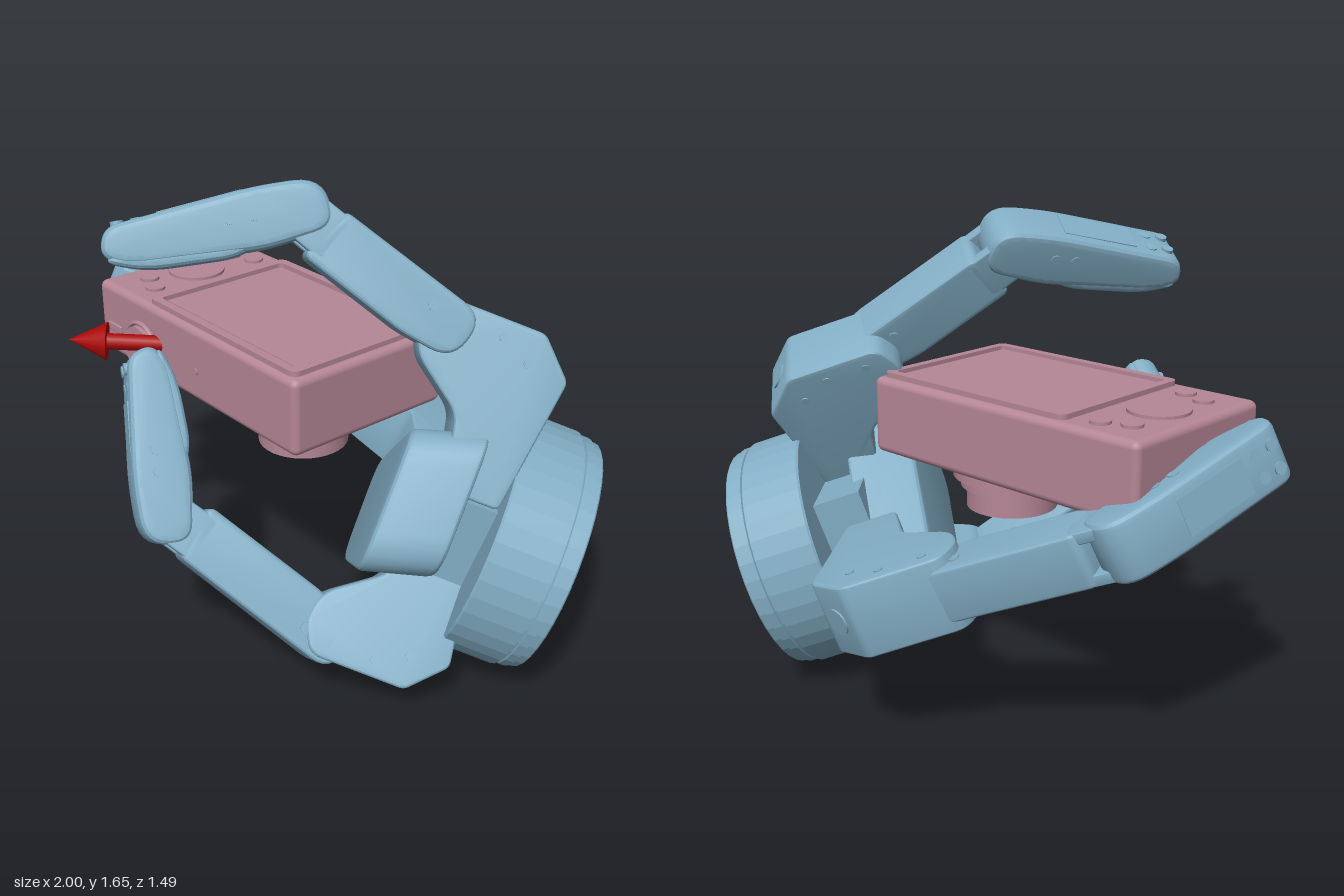
import * as THREE from 'three';
import { toCreasedNormals } from 'three/addons/utils/BufferGeometryUtils.js';
import { RoundedBoxGeometry } from 'three/addons/geometries/RoundedBoxGeometry.js';

const V = (x, y, z) => new THREE.Vector3(x, y, z);
const blue = new THREE.MeshStandardMaterial({ color: 0x82adc4 });
const pink = new THREE.MeshStandardMaterial({ color: 0xb68796 });
const red = new THREE.MeshStandardMaterial({ color: 0xaa0808 });

// palm axis: W points from the wrist disc out through the palm
const W = V(-0.71, 0.33, 0.62).normalize();
const wrist = V(0.727, 0.38, -0.412);

function add(parent, name, geo, mat, x = 0, y = 0, z = 0) {
  const m = new THREE.Mesh(geo, mat);
  m.name = name;
  m.position.set(x, y, z);
  parent.add(m);
  return m;
}

// group whose local axes are a, b, c at point o
function frame(parent, name, o, a, b, c) {
  const g = new THREE.Group();
  g.name = name;
  g.applyMatrix4(new THREE.Matrix4().makeBasis(a, b, c).setPosition(o));
  parent.add(g);
  return g;
}

// closed polygon with rounded corners; points are [x, y, radius]
function roundedShape(pts) {
  const s = new THREE.Shape();
  const n = pts.length;
  pts.forEach(([x, y, r], i) => {
    const c = new THREE.Vector2(x, y);
    const toward = ([px, py]) => {
      const e = new THREE.Vector2(px, py).sub(c);
      return e.setLength(Math.min(r, e.length() * 0.48)).add(c);
    };
    const p = toward(pts[(i + n - 1) % n]);
    const q = toward(pts[(i + 1) % n]);
    if (i) s.lineTo(p.x, p.y); else s.moveTo(p.x, p.y);
    s.quadraticCurveTo(x, y, q.x, q.y);
  });
  s.closePath();
  return s;
}

function slab(pts, depth, bevel) {
  const g = new THREE.ExtrudeGeometry(roundedShape(pts), {
    depth: depth - 2 * bevel, bevelEnabled: true, bevelSize: bevel, bevelThickness: bevel,
    bevelOffset: -bevel, bevelSegments: 3, curveSegments: 6,
  });
  g.translate(0, 0, bevel - depth / 2);
  return toCreasedNormals(g, 0.5);
}

// cylinder along local y, or along z when turned
function disc(parent, name, r, h, x, y, z, mat = blue, turned = true, seg = 24) {
  const m = add(parent, name, new THREE.CylinderGeometry(r, r, h, seg), mat, x, y, z);
  if (turned) m.rotation.x = Math.PI / 2;
  return m;
}

function finger(parent, name, knuckle, joint, tip, shift) {
  const g = new THREE.Group();
  g.name = name;
  parent.add(g);
  const p = joint.clone().sub(knuckle), t = tip.clone().sub(joint);
  const lenP = p.length(), lenT = t.length();
  p.normalize();
  t.normalize();
  const n = t.clone().cross(p).normalize();

  // knuckle housing with an arm reaching inward under the palm plate
  const nk = n.clone().addScaledVector(W, -n.dot(W)).normalize();
  const origin = knuckle.clone().addScaledVector(nk, shift);
  const k = frame(g, 'knuckle', origin, W, nk.clone().cross(W), nk);
  add(k, 'knuckleHousing', slab([
    [0.05, -0.02, 0.04], [0, 0.075, 0.04], [-0.32, 0.075, 0.02], [-0.435, -0.04, 0.02],
    [-0.38, -0.48, 0.02], [-0.2, -0.48, 0.02], [-0.15, -0.25, 0.04], [0.03, -0.12, 0.05]], 0.25, 0.012), blue);
  const port = disc(k, 'motorPort', 0.045, 0.012, -0.379, 0.016, 0);
  port.rotation.z = Math.PI / 4;
  port.rotation.x = 0;
  for (const s of [-1, 1]) for (const [x, y] of [[-0.06, 0.02], [-0.2, 0.02], [-0.3, -0.03]])
    disc(k, 'knuckleScrew', 0.014, 0.008, x, y, s * 0.125, blue, true, 10);

  // inner link
  const a = frame(g, 'innerLink', knuckle, p, n.clone().cross(p), n);
  add(a, 'innerShell', slab([
    [-0.1, 0.085, 0.08], [lenP - 0.1, 0.085, 0.03], [lenP - 0.08, -0.1, 0.03],
    [0.08, -0.105, 0.03], [-0.1, -0.08, 0.08]], 0.18, 0.015), blue);
  for (const s of [-1, 1]) {
    add(a, 'jointCheek', slab([
      [lenP - 0.14, 0.075, 0.03], [lenP + 0.08, 0.08, 0.08], [lenP + 0.08, -0.07, 0.08],
      [lenP - 0.14, -0.08, 0.03]], 0.04, 0.008), blue).position.z = s * 0.07;
    disc(a, 'linkScrew', 0.018, 0.008, 0.05, 0.02, s * 0.09, blue, true, 12);
  }
  disc(a, 'jointPin', 0.07, 0.18, lenP, 0, 0);

  // outer link, tapered toward the tip, with a pad on the gripping side
  const b = frame(g, 'outerLink', joint, t, n.clone().cross(t), n);
  add(b, 'outerShell', slab([
    [-0.1, -0.06, 0.07], [-0.08, 0.095, 0.09], [0.12, 0.1, 0.08], [lenT, 0.055, 0.05],
    [lenT + 0.025, -0.03, 0.04], [lenT - 0.05, -0.07, 0.06], [0.12, -0.09, 0.06]], 0.2, 0.025), blue);
  add(b, 'fingerPad', slab([
    [0.1, -0.05, 0.03], [lenT - 0.02, -0.02, 0.03], [lenT + 0.015, -0.05, 0.04],
    [lenT - 0.1, -0.092, 0.08], [0.2, -0.1, 0.06]], 0.19, 0.02), blue);
  for (const s of [-1, 1]) for (const x of [0.14, 0.21])
    disc(b, 'sideScrew', 0.018, 0.008, x, 0.015, s * 0.1, blue, true, 12);
  const cover = add(b, 'backCover', new THREE.BoxGeometry(lenT * 0.45, 0.012, 0.12), blue, lenT * 0.5, 0.08, 0);
  cover.rotation.z = -0.09;
  for (const s of [-1, 1]) for (const x of [lenT - 0.1, lenT - 0.04])
    disc(b, 'tipScrew', 0.02, 0.02, x, 0.058, s * 0.04, blue, false, 12);
}

function palm(parent) {
  const u = V(0, 1, 0).cross(W).normalize();
  const v = W.clone().cross(u);
  const g = frame(parent, 'palm', wrist, u, v, W);
  // wrist disc: cap, narrow ring and wide body
  const rim = [[0, 0], [0.39, 0], [0.395, 0.005], [0.395, 0.03], [0.403, 0.032], [0.403, 0.06],
    [0.396, 0.063], [0.396, 0.072], [0.411, 0.075], [0.411, 0.268], [0.405, 0.275], [0, 0.275]];
  const geo = new THREE.LatheGeometry(rim.map(([r, h]) => new THREE.Vector2(r, h)), 40);
  add(g, 'wristDisc', toCreasedNormals(geo, 0.1), blue).rotation.x = Math.PI / 2;
  add(g, 'hub', new THREE.BoxGeometry(0.46, 0.4, 0.2), blue, 0, 0, 0.34);
  // palm plate: rounded corners projected on the palm plane, back edge sheared upward
  const corners = [V(0.61, 0.95, -0.03), V(0.05, 0.47, -0.36), V(0.12, 0.18, -0.11), V(0.67, 0.54, 0.23)];
  const flat = corners.map((c) => c.sub(wrist)).map((c) => [c.dot(u), c.dot(v), 0.13]);
  const plate = slab(flat, 0.23, 0.02);
  plate.applyMatrix4(new THREE.Matrix4().makeShear(0, 0, 0, 0, 0, -0.35));
  add(g, 'palmPlate', plate, blue, 0, 0, 0.505);
}

function camera(parent) {
  const g = new THREE.Group();
  g.name = 'compactCamera';
  parent.add(g);
  add(g, 'cameraBody', new RoundedBoxGeometry(1.1, 0.26, 0.625, 3, 0.025), pink, -0.235, 0.97, 0.042);
  // raised screen frame around the display
  const frameShape = roundedShape([[-0.39, -0.29, 0.03], [0.39, -0.29, 0.03], [0.39, 0.29, 0.03], [-0.39, 0.29, 0.03]]);
  frameShape.holes.push(roundedShape([[-0.36, -0.26, 0.02], [-0.36, 0.26, 0.02], [0.36, 0.26, 0.02], [0.36, -0.26, 0.02]]));
  const fg = new THREE.ExtrudeGeometry(frameShape, { depth: 0.025, bevelEnabled: false });
  add(g, 'screenFrame', fg, pink, -0.1, 1.092, 0.045).rotation.x = -Math.PI / 2;
  add(g, 'screen', new THREE.BoxGeometry(0.69, 0.012, 0.49), pink, -0.1, 1.102, 0.045);
  // dial and buttons
  disc(g, 'controlDial', 0.1, 0.02, -0.63, 1.1, 0.04, pink, false, 32);
  for (const [x, z] of [[-0.67, -0.145], [-0.58, -0.18], [-0.67, 0.215], [-0.58, 0.25]])
    disc(g, 'button', 0.034, 0.02, x, 1.1, z, pink, false, 20);
  // stepped telescoping lens
  [[0.22, 0.835], [0.2, 0.795], [0.175, 0.76]].forEach(([r, y], i) =>
    disc(g, 'lensRing' + (i + 1), r, 0.05, -0.04, y, 0.03, pink, false, 36));
  disc(g, 'lensBarrel', 0.155, 0.13, -0.04, 0.725, 0.03, pink, false, 36);
  // edge controls
  const ring = add(g, 'edgeRing', new THREE.TorusGeometry(0.095, 0.008, 8, 32), pink, -0.52, 0.92, 0.355);
  ring.scale.z = 1.5;
  disc(g, 'shutterButton', 0.085, 0.03, -0.52, 0.92, 0.36, pink, true, 32);
  add(g, 'slot', new RoundedBoxGeometry(0.08, 0.03, 0.012, 2, 0.005), pink, -0.69, 0.945, 0.355);
  disc(g, 'indicator', 0.012, 0.01, -0.2, 0.95, 0.355, pink, true, 12);
}

function arrow(parent) {
  const from = V(-0.41, 0.97, 0.33), to = V(-0.615, 0.99, 0.585);
  const dir = to.clone().sub(from), len = dir.length();
  const g = new THREE.Group();
  g.name = 'arrow';
  g.position.copy(from);
  g.quaternion.setFromUnitVectors(V(0, 1, 0), dir.normalize());
  parent.add(g);
  disc(g, 'arrowShaft', 0.028, len - 0.11, 0, (len - 0.11) / 2, 0, red, false, 16);
  add(g, 'arrowHead', new THREE.ConeGeometry(0.066, 0.13, 20), red, 0, len - 0.065, 0);
}

export function createModel() {
  const model = new THREE.Group();
  model.name = 'gripperHoldingCamera';
  palm(model);
  finger(model, 'upperFinger', V(0.42, 1.205, -0.13), V(0.08, 1.515, 0.14), V(-0.225, 1.44, 0.63), 0.06);
  finger(model, 'lowerFinger', V(0.38, 0.225, 0.33), V(0, 0.6, 0.625), V(-0.25, 1.04, 0.525), -0.02);
  finger(model, 'sideFinger', V(-0.26, 0.585, -0.47), V(-0.75, 0.805, -0.27), V(-0.93, 1.01, 0.21), 0);
  camera(model);
  arrow(model);
  return model;
}
